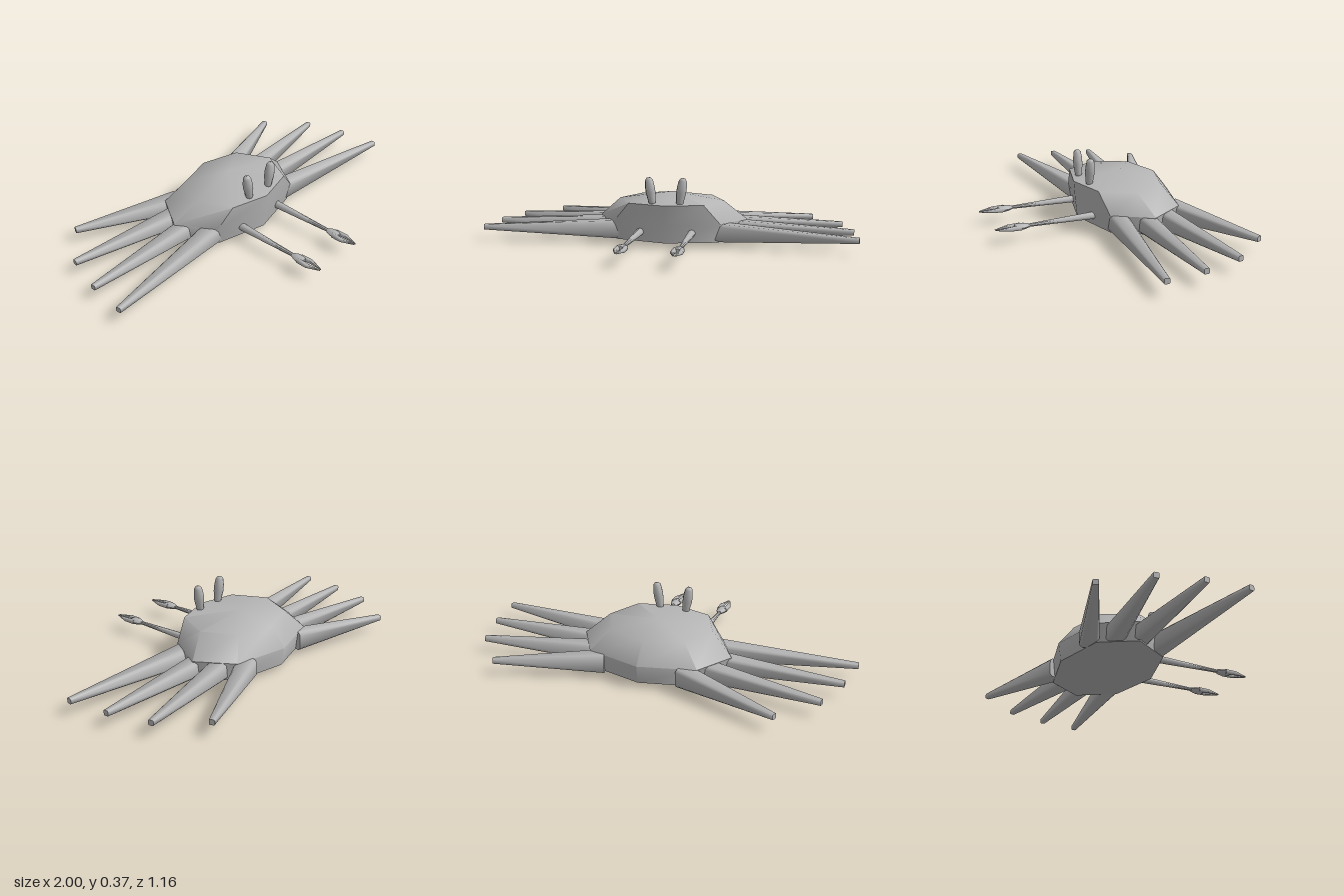
import * as THREE from 'three';
import { toCreasedNormals } from 'three/addons/utils/BufferGeometryUtils.js';

// Skin a series of equal-length point rings, closed by a centre point at each end
function skin(rings, startTip, endTip, crease) {
  const n = rings[0].length;
  const mean = (ring) => [0, 1, 2].map((k) => ring.reduce((s, p) => s + p[k], 0) / n);
  const pos = rings.flat(2);
  const index = [];
  const first = rings.length * n, last = first + 1;
  pos.push(...(startTip || mean(rings[0])), ...(endTip || mean(rings[rings.length - 1])));
  for (let j = 0; j < n; j++) {
    const k = (j + 1) % n;
    const top = (rings.length - 1) * n;
    index.push(first, k, j, last, top + j, top + k);
    for (let i = 0; i < rings.length - 1; i++) {
      const a = i * n + j, b = i * n + k;
      index.push(a, b, b + n, a, b + n, a + n);
    }
  }
  const geo = new THREE.BufferGeometry();
  geo.setAttribute('position', new THREE.Float32BufferAttribute(pos, 3));
  geo.setIndex(index);
  return toCreasedNormals(geo, crease);
}

// Elliptical ring across z: centre x, z and radii
function ovalRing([x, z, rx, ry], sides = 8) {
  return Array.from({ length: sides }, (_, j) => {
    const a = (j / sides) * Math.PI * 2;
    return [x + rx * Math.cos(a), ry * Math.sin(a), z];
  });
}

// Square ring with chamfered corners across z
function chamferRing(h, z) {
  const c = h * 0.72;
  return [[h, -c], [h, c], [c, h], [-c, h], [-h, c], [-h, -c], [-c, -h], [c, -h]].map(([x, y]) => [x, y, z]);
}

// Eight-point shell outline: front z, front corner, side, back corner, back z
function shellRing(y, front, [fx, fz], [sx, sz], [bx, bz], back) {
  return [[0, y, front], [fx, y, fz], [sx, y, sz], [bx, y, bz], [0, y, back], [-bx, y, bz], [-sx, y, sz], [-fx, y, fz]];
}

export function createModel() {
  const model = new THREE.Group();
  const grey = new THREE.MeshStandardMaterial({ color: 0xb4b4b4 });
  grey.name = 'grey';
  const add = (name, geo, parent = model) => {
    const mesh = new THREE.Mesh(geo, grey);
    mesh.name = name;
    parent.add(mesh);
    return mesh;
  };

  // Faceted shell with shallow top and bottom peaks
  add('shell', skin([
    shellRing(0.033, 0.08, [0.27, 0.01], [0.39, -0.18], [0.28, -0.36], -0.43),
    shellRing(0.13, 0.092, [0.287, 0.018], [0.405, -0.18], [0.29, -0.37], -0.445),
    shellRing(0.235, 0.1, [0.2, 0.045], [0.285, -0.13], [0.2, -0.305], -0.365),
  ], [0, 0.005, -0.17], [0, 0.272, -0.17], 0.9));

  // Root and tip (x, z) of the four legs on one side
  const legs = [
    [0.25, -0.035, 1.0, 0.063],
    [0.25, -0.16, 0.975, -0.15],
    [0.25, -0.266, 0.913, -0.365],
    [0.21, -0.367, 0.742, -0.573],
  ];
  for (const side of [1, -1]) {
    const label = side > 0 ? 'left' : 'right';

    // Tapering legs
    legs.forEach(([x0, z0, x1, z1], i) => {
      const length = Math.hypot(x1 - x0, z1 - z0);
      const leg = add(`${label}Leg${i + 1}`, skin([chamferRing(0.05, 0), chamferRing(0.014, length)], null, null, 0.95));
      leg.position.set(side * x0, 0.083, z0);
      leg.rotation.y = Math.atan2(side * (x1 - x0), z1 - z0);
    });

    // Arm with a two-fingered claw
    const arm = new THREE.Group();
    arm.name = `${label}Arm`;
    arm.position.set(side * 0.14, 0.085, 0);
    model.add(arm);
    const oval = (rows) => skin(rows.map((r) => ovalRing(r)), null, null, 0.95);
    add('forearm', oval([[-side * 0.003, 0, 0.022, 0.022], [0, 0.41, 0.009, 0.009]]), arm);
    add('palm', oval([[0, 0.4, 0.013, 0.01], [0, 0.425, 0.025, 0.015], [0, 0.455, 0.029, 0.017], [0, 0.475, 0.024, 0.012]]), arm);
    for (const s of [1, -1]) {
      add('clawFinger', oval([
        [s * 0.017, 0.445, 0.012, 0.015],
        [s * 0.02, 0.505, 0.013, 0.011],
        [s * 0.004, 0.578, 0.002, 0.003],
      ]), arm);
    }

    // Upright eye stalk leaning outwards
    const profile = [[0, 0], [0.015, 0], [0.019, 0.02], [0.026, 0.07], [0.026, 0.1], [0.021, 0.138], [0.012, 0.15], [0, 0.152]];
    const eye = add(`${label}Eye`, new THREE.LatheGeometry(profile.map(([r, y]) => new THREE.Vector2(r, y)), 8));
    eye.position.set(side * 0.071, 0.225, 0.043);
    eye.rotation.z = -side * 0.14;
  }
  return model;
}
